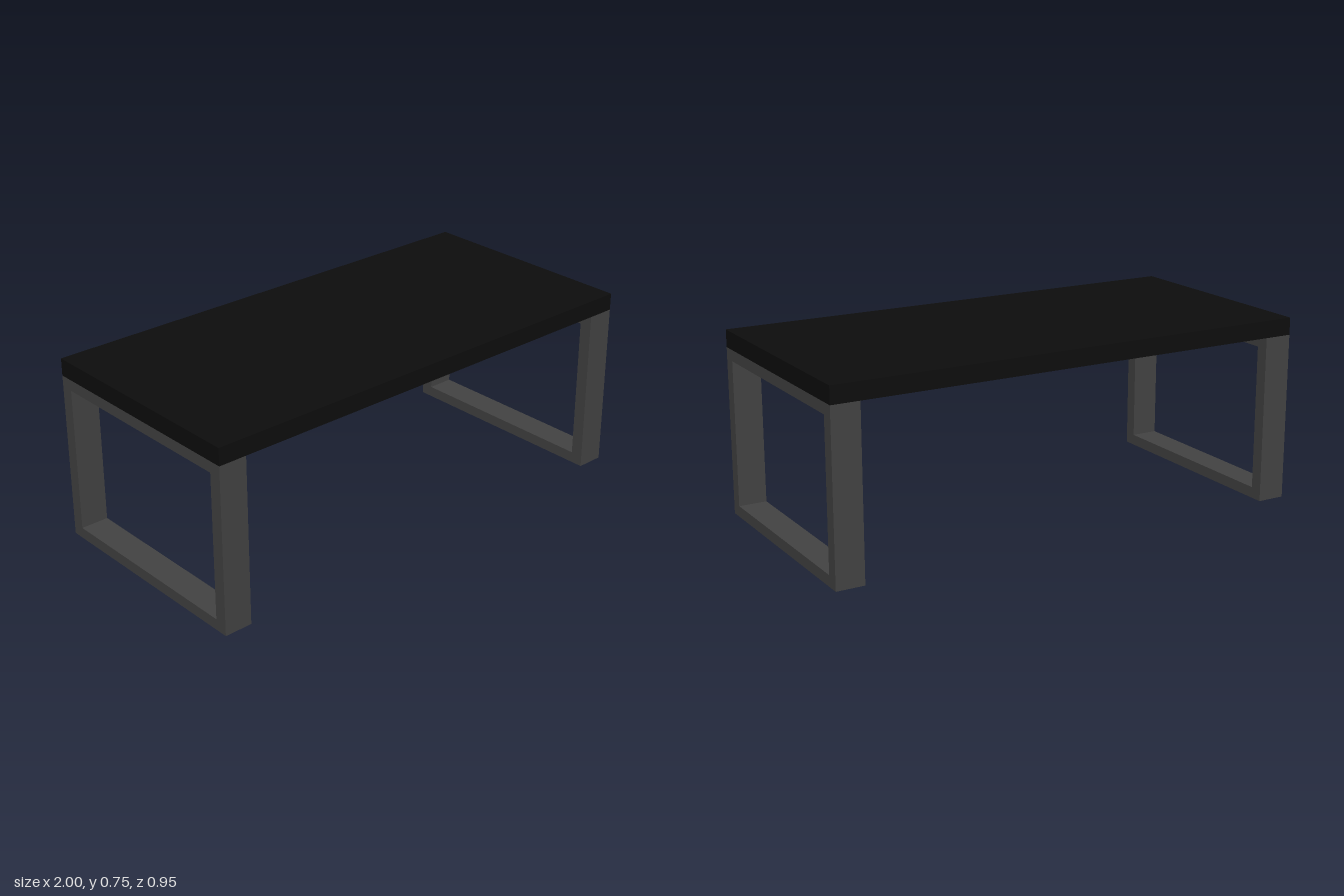
import * as THREE from 'three';

const HALF_LENGTH = 1, HALF_DEPTH = 0.475;
const HEIGHT = 0.75, TOP_THICKNESS = 0.07;
const FRAME_HEIGHT = HEIGHT - TOP_THICKNESS;
const FRAME_WIDTH = 0.115, POST = 0.052, RAIL = 0.045;

// Closed rectangular loop, extruded along x and centred on x = 0
function frameGeometry() {
  const outline = new THREE.Shape([
    new THREE.Vector2(-HALF_DEPTH, 0),
    new THREE.Vector2(HALF_DEPTH, 0),
    new THREE.Vector2(HALF_DEPTH, FRAME_HEIGHT),
    new THREE.Vector2(-HALF_DEPTH, FRAME_HEIGHT),
  ]);
  const inner = HALF_DEPTH - POST;
  outline.holes.push(new THREE.Path([
    new THREE.Vector2(-inner, RAIL),
    new THREE.Vector2(-inner, FRAME_HEIGHT - RAIL),
    new THREE.Vector2(inner, FRAME_HEIGHT - RAIL),
    new THREE.Vector2(inner, RAIL),
  ]));
  const geometry = new THREE.ExtrudeGeometry(outline, { depth: FRAME_WIDTH, bevelEnabled: false });
  return geometry.translate(0, 0, -FRAME_WIDTH / 2).rotateY(Math.PI / 2);
}

export function createModel() {
  const table = new THREE.Group();
  table.name = 'table';

  const blackTop = new THREE.MeshStandardMaterial({ color: 0x0d0d0d });
  blackTop.name = 'blackTop';
  const greyMetal = new THREE.MeshStandardMaterial({ color: 0x424242 });
  greyMetal.name = 'greyMetal';

  // Table top
  const top = new THREE.Mesh(
    new THREE.BoxGeometry(HALF_LENGTH * 2, TOP_THICKNESS, HALF_DEPTH * 2), blackTop);
  top.name = 'tableTop';
  top.position.y = HEIGHT - TOP_THICKNESS / 2;
  table.add(top);

  // Loop legs, flush with both ends
  const geometry = frameGeometry();
  for (const [name, side] of [['leftLegFrame', 1], ['rightLegFrame', -1]]) {
    const leg = new THREE.Mesh(geometry, greyMetal);
    leg.name = name;
    leg.position.x = side * (HALF_LENGTH - FRAME_WIDTH / 2);
    table.add(leg);
  }
  return table;
}
